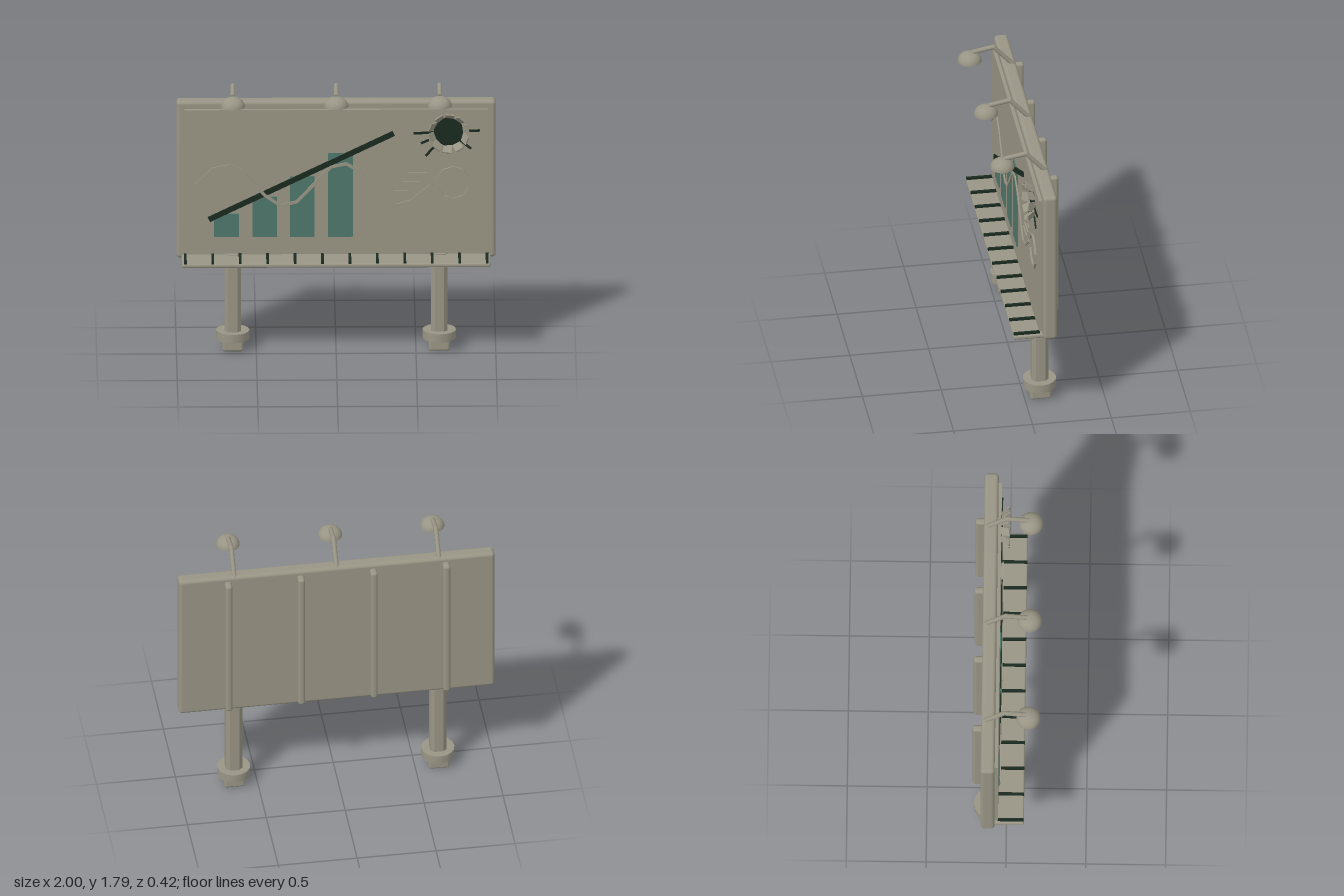
import * as THREE from 'three';
import { RoundedBoxGeometry } from 'three/addons/geometries/RoundedBoxGeometry.js';
import { toCreasedNormals } from 'three/addons/utils/BufferGeometryUtils.js';

export function createModel() {
  const root = new THREE.Group();
  const paint = (name, color) => {
    const m = new THREE.MeshStandardMaterial({ color });
    m.name = name;
    return m;
  };
  const metal = paint('warm grey metal', 0x999585);
  const teal = paint('teal', 0x4f776b);
  const dark = paint('dark green', 0x1a2a20);

  const add = (name, geo, mat, x = 0, y = 0, z = 0, parent = root) => {
    const mesh = new THREE.Mesh(geo, mat);
    mesh.name = name;
    mesh.position.set(x, y, z);
    parent.add(mesh);
    return mesh;
  };
  const extrude = (shape, depth) =>
    new THREE.ExtrudeGeometry(shape, { depth, bevelEnabled: false, curveSegments: 10 });
  const circlePoints = (r, n) => Array.from({ length: n }, (_, i) => {
    const a = ((i + 0.5) / n) * Math.PI * 2;
    return new THREE.Vector2(Math.cos(a) * r, Math.sin(a) * r);
  });

  // Round rod between two points
  const rod = (name, a, b, r, parent) => {
    const d = b.clone().sub(a);
    const m = add(name, new THREE.CylinderGeometry(r, r, d.length(), 10), metal, 0, 0, 0, parent);
    m.position.copy(a).add(b).multiplyScalar(0.5);
    m.quaternion.setFromUnitVectors(new THREE.Vector3(0, 1, 0), d.normalize());
  };

  // Flat strip following a polyline
  const ribbon = (points, width) => {
    const pts = points.map(([x, y]) => new THREE.Vector2(x, y));
    const left = [], right = [];
    pts.forEach((p, i) => {
      const t = pts[Math.min(i + 1, pts.length - 1)].clone().sub(pts[Math.max(i - 1, 0)]).normalize();
      const n = new THREE.Vector2(-t.y, t.x).multiplyScalar(width / 2);
      left.push(p.clone().add(n));
      right.unshift(p.clone().sub(n));
    });
    return new THREE.Shape([...left, ...right]);
  };

  // Board and raised display panel
  add('board', new RoundedBoxGeometry(2, 1.04, 0.088, 4, 0.022), metal, 0, 1.13, -0.115);
  add('displayPanel', new THREE.BoxGeometry(1.9, 0.95, 0.04), metal, 0, 1.125, -0.07);

  // Vertical ribs on the back
  for (const x of [-0.69, -0.23, 0.23, 0.69]) {
    add('backRib', new RoundedBoxGeometry(0.044, 0.985, 0.08, 4, 0.018), metal, x, 1.127, -0.172);
  }

  // Walkway with dark cross slats
  add('walkway', new RoundedBoxGeometry(1.935, 0.028, 0.2, 3, 0.011), metal, 0, 0.621, 0.012);
  for (let i = 0; i < 12; i++) {
    add('walkwaySlat', new THREE.BoxGeometry(0.017, 0.016, 0.165), dark, -0.945 + i * 0.1718, 0.642, 0.028);
  }

  // Chamfered posts on collars and feet
  const h = 0.052, c = 0.029;
  const postShape = new THREE.Shape([
    [h, -c], [h, c], [c, h], [-c, h], [-h, c], [-h, -c], [-c, -h], [c, -h],
  ].map(([x, y]) => new THREE.Vector2(x, y)));
  for (const x of [-0.647, 0.647]) {
    const leg = new THREE.Group();
    leg.name = 'leg';
    leg.position.set(x, 0, -0.1);
    root.add(leg);
    add('post', extrude(postShape, 0.56), metal, 0, 0.08, 0, leg).rotation.x = -Math.PI / 2;
    const collar = toCreasedNormals(new THREE.CylinderGeometry(0.105, 0.105, 0.056, 16), 0.6);
    add('collar', collar, metal, 0, 0.098, 0, leg);
    add('foot', new RoundedBoxGeometry(0.132, 0.074, 0.132, 3, 0.016), metal, 0, 0.037, 0, leg);
  }

  // Lamps on bent arms along the top edge
  const domeProfile = [new THREE.Vector2(0, 0)];
  for (let i = 0; i <= 8; i++) {
    const a = (i / 8) * Math.PI / 2;
    domeProfile.push(new THREE.Vector2(Math.max(0, 0.076 * Math.cos(a)), 0.062 * Math.sin(a)));
  }
  for (const x of [-0.648, 0, 0.648]) {
    const lamp = new THREE.Group();
    lamp.name = 'lamp';
    lamp.position.x = x;
    root.add(lamp);
    const base = new THREE.Vector3(0, 1.635, -0.142);
    const elbow = new THREE.Vector3(0, 1.775, -0.015);
    const tip = new THREE.Vector3(0, 1.75, 0.12);
    rod('lowerArm', base, elbow, 0.015, lamp);
    rod('upperArm', elbow, tip, 0.015, lamp);
    add('elbow', new THREE.SphereGeometry(0.015, 10, 8), metal, 0, elbow.y, elbow.z, lamp);
    const dome = toCreasedNormals(new THREE.LatheGeometry(domeProfile, 24), 0.8);
    add('lampShade', dome, metal, 0, 1.69, 0.136, lamp);
  }

  // Rising chart bars
  [[-0.687, 0.915], [-0.447, 1.027], [-0.212, 1.16], [0.028, 1.315]].forEach(([x, top]) => {
    add('chartBar', new THREE.BoxGeometry(0.155, top - 0.76, 0.009), teal, x, (top + 0.76) / 2, -0.0465);
  });

  // Diagonal trend line
  add('trendLine', extrude(ribbon([[-0.797, 0.877], [0.36, 1.445]], 0.034), 0.009), dark, 0, 0, -0.047);

  // Wavy line, ring and dashes
  const wave = [
    [-0.882, 1.102], [-0.77, 1.214], [-0.663, 1.235], [-0.594, 1.203], [-0.444, 1.037],
    [-0.348, 0.968], [-0.246, 0.995], [-0.032, 1.225], [0.064, 1.246], [0.144, 1.198],
    [0.3, 1.021], [0.38, 0.968], [0.465, 0.995], [0.604, 1.107],
  ];
  add('waveLine', extrude(ribbon(wave, 0.02), 0.009), metal, 0, 0, -0.043);
  const ring = new THREE.Shape(circlePoints(0.113, 10));
  ring.holes.push(new THREE.Path(circlePoints(0.099, 10)));
  add('ring', extrude(ring, 0.012), metal, 0.733, 1.112, -0.05);
  [[0.51, 1.178], [0.468, 1.12], [0.418, 1.064]].forEach(([x, y]) => {
    add('dash', new THREE.BoxGeometry(0.12, 0.008, 0.01), metal, x, y, -0.046);
  });

  // Torn hole with flared flaps and cracks
  const hole = new THREE.Group();
  hole.name = 'tornHole';
  hole.position.set(0.705, 1.455, -0.05);
  root.add(hole);
  add('holeFace', new THREE.CylinderGeometry(0.094, 0.094, 0.009, 20), dark, 0, 0, 0.0035, hole)
    .rotation.x = Math.PI / 2;
  for (let i = 0; i < 10; i++) {
    const arm = new THREE.Group();
    arm.name = 'flapMount';
    arm.rotation.z = (i / 10) * Math.PI * 2 + 0.25;
    hole.add(arm);
    const flap = add('flap', new THREE.BoxGeometry(0.06, 0.054, 0.008), metal, 0.108, 0, 0.026, arm);
    flap.rotation.set(i % 2 ? 0.12 : -0.12, -0.92, 0);
  }
  [[183, 0.22], [204, 0.19], [228, 0.215], [2, 0.195], [321, 0.18]].forEach(([deg, len]) => {
    const a = THREE.MathUtils.degToRad(deg);
    const r = (len + 0.08) / 2;
    add('crack', new THREE.BoxGeometry(len - 0.08, 0.014, 0.008), dark,
      Math.cos(a) * r, Math.sin(a) * r, 0.004, hole).rotation.z = a;
  });

  return root;
}
